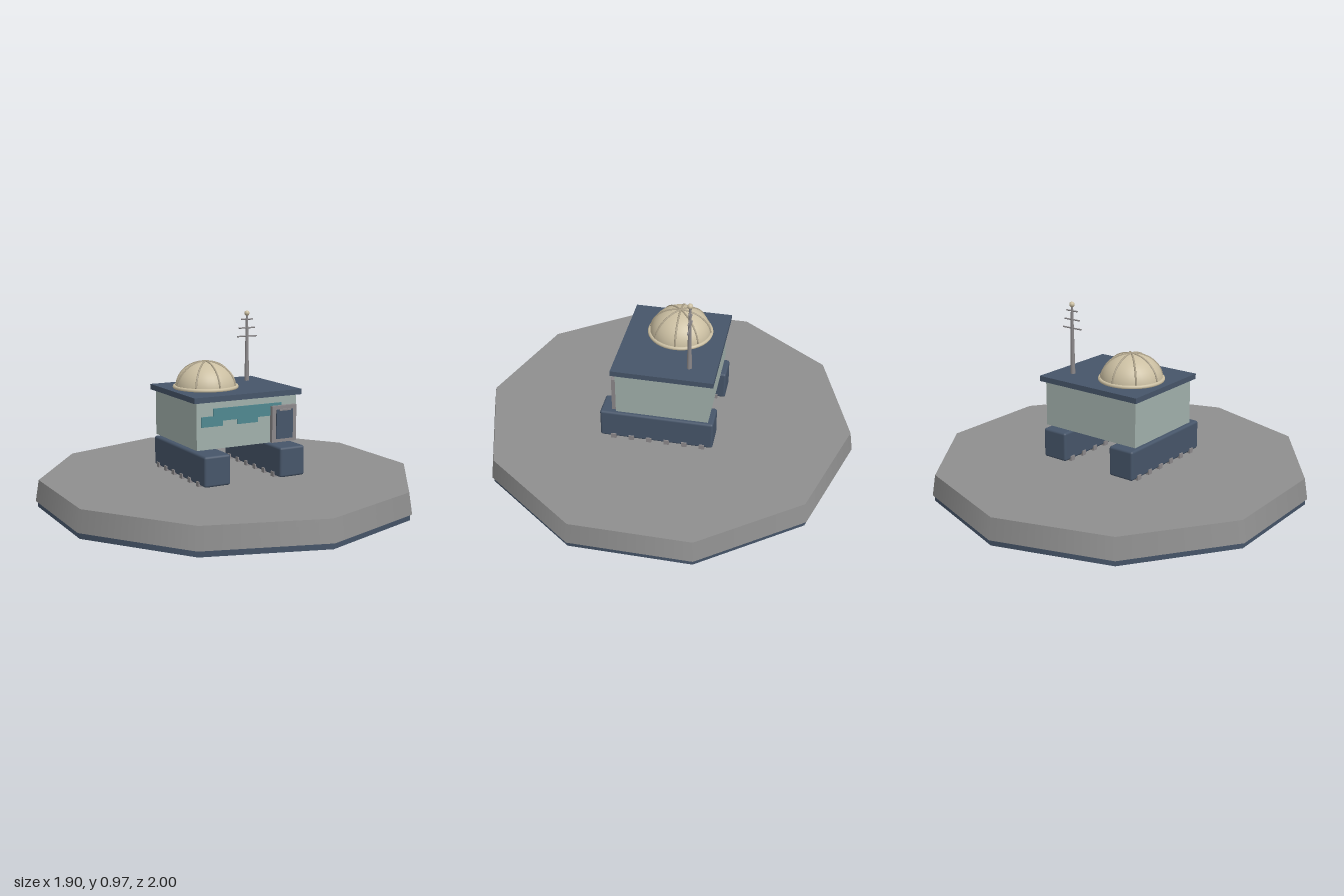
import * as THREE from 'three';
import { RoundedBoxGeometry } from 'three/addons/geometries/RoundedBoxGeometry.js';

const paint = (name, color) => {
  const m = new THREE.MeshStandardMaterial({ color });
  m.name = name;
  return m;
};

export function createModel() {
  const stone = paint('stone grey', 0x8f8f8f);
  const navy = paint('navy', 0x465569);
  const wall = paint('pale wall', 0xa1b0ab);
  const cream = paint('cream', 0xcbbfa2);
  const tan = paint('rib tan', 0xaca189);
  const teal = paint('teal glass', 0x4f8890);
  const metal = paint('metal grey', 0x8b888a);

  const model = new THREE.Group();
  model.name = 'dome station';
  const add = (parent, name, geometry, material, x = 0, y = 0, z = 0) => {
    const mesh = new THREE.Mesh(geometry, material);
    mesh.name = name;
    mesh.position.set(x, y, z);
    parent.add(mesh);
    return mesh;
  };
  const group = (name, x = 0, y = 0, z = 0) => {
    const g = new THREE.Group();
    g.name = name;
    g.position.set(x, y, z);
    model.add(g);
    return g;
  };
  // box given by its two corners
  const block = (parent, name, material, x0, x1, y0, y1, z0, z1) =>
    add(parent, name, new THREE.BoxGeometry(x1 - x0, y1 - y0, z1 - z0), material,
      (x0 + x1) / 2, (y0 + y1) / 2, (z0 + z1) / 2);

  // ten-sided ground plate
  add(model, 'baseUnderside', new THREE.CylinderGeometry(0.99, 0.99, 0.03, 10), navy, 0, 0.015, 0);
  add(model, 'baseSlab', new THREE.CylinderGeometry(0.982, 1, 0.11, 10), stone, 0, 0.085, 0);

  // two tracks with cleats underneath
  for (const side of [-1, 1]) {
    const track = group(side < 0 ? 'rightTrack' : 'leftTrack', side * 0.216 - 0.002, 0, 0.008);
    add(track, 'trackBody', new RoundedBoxGeometry(0.145, 0.156, 0.592, 2, 0.012), navy, 0, 0.233, 0);
    for (let i = 0; i < 6; i++) {
      add(track, 'cleat', new THREE.BoxGeometry(0.158, 0.026, 0.028), metal, 0, 0.162, (i - 2.5) * 0.093 - 0.008);
    }
  }

  // cabin and roof
  block(model, 'cabin', wall, -0.29, 0.285, 0.325, 0.566, -0.262, 0.217);
  block(model, 'roof', navy, -0.311, 0.307, 0.565, 0.593, -0.286, 0.236);

  // stepped window strip
  const outline = [[-0.266, 0.44], [-0.145, 0.44], [-0.145, 0.466], [-0.063, 0.466], [-0.063, 0.44],
    [0.056, 0.44], [0.056, 0.466], [0.195, 0.466], [0.195, 0.53], [-0.2, 0.53], [-0.2, 0.492], [-0.266, 0.492]];
  const windowShape = new THREE.Shape(outline.map(([x, y]) => new THREE.Vector2(x, y)));
  add(model, 'window', new THREE.ExtrudeGeometry(windowShape, { depth: 0.007, bevelEnabled: false }), teal, 0, 0, 0.215);

  // door
  const door = group('door');
  block(door, 'doorFrame', metal, 0.13, 0.274, 0.327, 0.516, 0.21, 0.24);
  block(door, 'doorPanel', navy, 0.153, 0.25, 0.345, 0.497, 0.235, 0.246);
  block(door, 'doorLintel', metal, 0.17, 0.234, 0.491, 0.499, 0.24, 0.25);

  // ribbed dome
  const R = 0.16, H = 0.137;
  const dome = group('dome', -0.104, 0.593, -0.045);
  const shell = add(dome, 'domeShell',
    new THREE.SphereGeometry(R, 32, 12, 0, Math.PI * 2, 0, Math.PI / 2), cream);
  shell.scale.y = H / R;
  const rim = add(dome, 'domeRim', new THREE.TorusGeometry(0.162, 0.01, 8, 40), cream, 0, 0.006, 0);
  rim.rotation.x = Math.PI / 2;
  const arc = [];
  for (let i = 0; i <= 16; i++) {
    const a = (i / 16) * Math.PI;
    arc.push(new THREE.Vector3(R * Math.cos(a), H * Math.sin(a), 0));
  }
  const ribGeometry = new THREE.TubeGeometry(new THREE.CatmullRomCurve3(arc), 32, 0.005, 6);
  for (let i = 0; i < 4; i++) add(dome, 'domeRib', ribGeometry, tan).rotation.y = (i * Math.PI) / 4;

  // antenna mast with three cross bars
  const antenna = group('antenna', 0.2, 0, -0.147);
  add(antenna, 'mast', new THREE.CylinderGeometry(0.006, 0.013, 0.37, 10), metal, 0, 0.775, 0);
  add(antenna, 'mastTip', new THREE.SphereGeometry(0.014, 14, 10), cream, 0, 0.959, 0);
  [[0.835, 0.12], [0.88, 0.098], [0.926, 0.072]].forEach(([y, length]) => {
    const bar = add(antenna, 'crossBar', new THREE.CylinderGeometry(0.004, 0.004, length, 8), metal, 0, y, 0);
    bar.rotation.z = Math.PI / 2;
  });

  return model;
}
